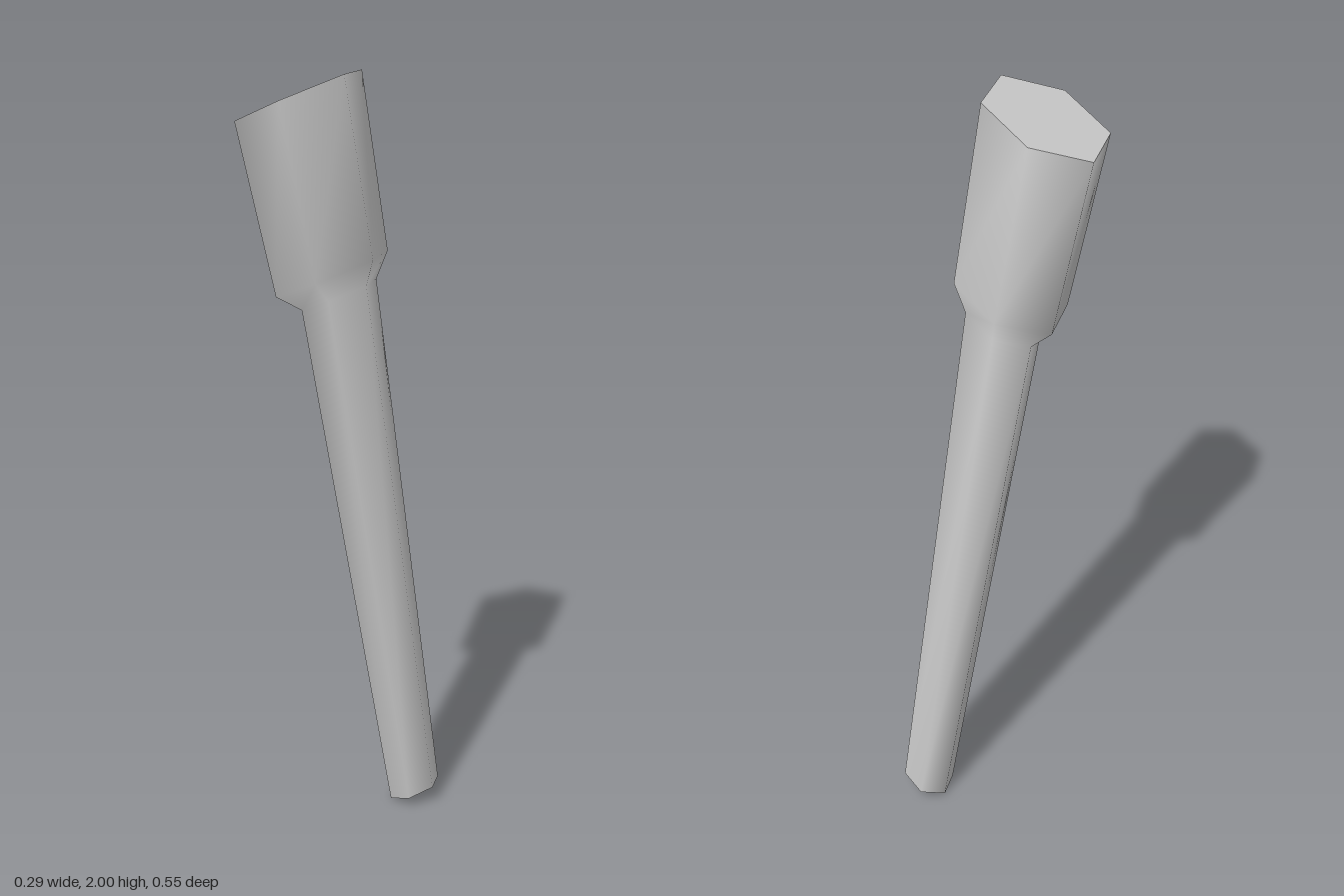
import * as THREE from 'three';

// Corners of the slanted hexagonal section, counterclockwise from above
const half = [[-0.145, -0.058, 0.026], [-0.049, -0.053, 0.144], [0.096, 0.005, 0.118]];
const hexagon = [...half, ...half.map((p) => p.map((v) => -v))];

// Section centres and scales, from the foot up to the head
const sections = [
  { centre: [0.033, 0.031, -0.213], scale: 0.45 }, // foot
  { centre: [0.002, 1.46, 0.019], scale: 0.62 },   // neck
  { centre: [0.011, 1.517, 0.046], scale: 0.92 },  // collar
  { centre: [0, 1.943, 0.131], scale: 1 },         // top of head
];

const ring = ({ centre, scale }) => hexagon.map((p) => p.map((v, k) => centre[k] + v * scale));

function makeMesh(name, points, index) {
  const geometry = new THREE.BufferGeometry();
  geometry.setAttribute('position', new THREE.Float32BufferAttribute(points.flat(), 3));
  geometry.setIndex(index);
  geometry.computeVertexNormals();
  const mesh = new THREE.Mesh(geometry, new THREE.MeshStandardMaterial({ color: 0xcccccc }));
  mesh.name = name;
  return mesh;
}

// Smooth walls joining neighbouring rings
function makeWalls(name, rings) {
  const n = hexagon.length;
  const index = [];
  for (let r = 0; r < rings.length - 1; r++) {
    for (let i = 0; i < n; i++) {
      const a = r * n + i;
      const b = r * n + ((i + 1) % n);
      index.push(a, b, b + n, a, b + n, a + n);
    }
  }
  return makeMesh(name, rings.flat(), index);
}

// Flat end closing a ring
function makeCap(name, points) {
  const index = [];
  for (let i = 1; i < points.length - 1; i++) index.push(0, i, i + 1);
  return makeMesh(name, points, index);
}

export function createModel() {
  const group = new THREE.Group();
  group.name = 'slantedClub';
  const rings = sections.map(ring);
  group.add(
    makeWalls('shaftAndHead', rings),
    makeCap('headTop', rings[rings.length - 1]),
    makeCap('footEnd', [...rings[0]].reverse()),
  );
  return group;
}
